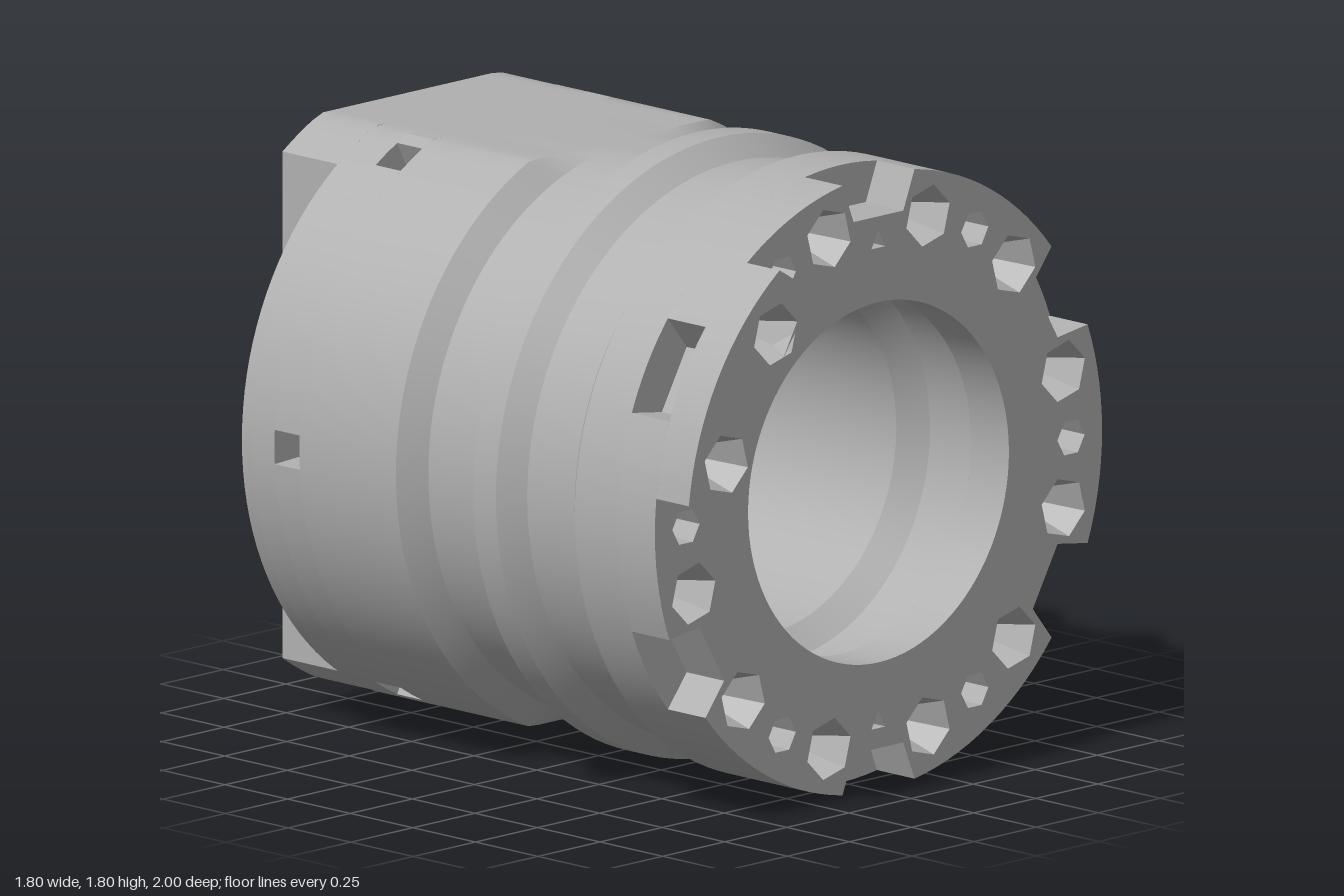
import * as THREE from 'three';
import { toCreasedNormals } from 'three/addons/utils/BufferGeometryUtils.js';

const R = 0.9, FLAT = 0.825, CUT = -0.515, BORE = 0.515;
const rad = THREE.MathUtils.degToRad;
const polar = (r, deg) => [r * Math.cos(rad(deg)), r * Math.sin(rad(deg))];
const vec = (p) => new THREE.Vector2(p[0], p[1]);

// points along an arc, with top and bottom flats where wanted
function arc(from, to, flat = R) {
  const n = Math.max(2, Math.ceil((to - from) / 3));
  return Array.from({ length: n + 1 }, (_, i) => {
    const [x, y] = polar(R, from + ((to - from) * i) / n);
    return vec([x, THREE.MathUtils.clamp(y, -flat, flat)]);
  });
}

// round outline with six notches in the rim
function notched(rimHalf, floorHalf, floorR, first, flat) {
  const d = THREE.MathUtils.radToDeg(Math.asin(rimHalf / R));
  const pts = [];
  for (let k = 0; k < 6; k++) {
    const a = first + k * 60;
    const c = Math.cos(rad(a)), s = Math.sin(rad(a));
    for (const w of [-floorHalf, floorHalf]) pts.push(vec([floorR * c - w * s, floorR * s + w * c]));
    pts.push(...arc(a + d, a + 60 - d, flat));
  }
  return pts;
}

// hole outlines
const ngon = (x, y, r, n, turn = 0) =>
  Array.from({ length: n }, (_, i) => {
    const [px, py] = polar(r, turn + (i * 360) / n);
    return vec([x + px, y + py]);
  });
const rect = (x0, y0, x1, y1) => [[x0, y0], [x1, y0], [x1, y1], [x0, y1]].map(vec);

export function createModel() {
  const model = new THREE.Group();
  const body = new THREE.Group();
  body.name = 'housing';
  body.position.y = R;
  model.add(body);

  const metal = new THREE.MeshStandardMaterial({ color: 0xb0b0b0, side: THREE.DoubleSide });
  metal.name = 'grey metal';

  const add = (name, geo, crease = 0.4) => {
    const mesh = new THREE.Mesh(toCreasedNormals(geo, crease), metal);
    mesh.name = name;
    body.add(mesh);
    return mesh;
  };
  const slab = (name, z0, z1, outline, holes = []) => {
    const shape = new THREE.Shape(outline);
    shape.holes = holes.map((h) => new THREE.Path(h));
    const geo = new THREE.ExtrudeGeometry(shape, { depth: z1 - z0, bevelEnabled: false });
    geo.translate(0, 0, z0);
    return add(name, geo);
  };

  // turned barrel: collars and grooves outside, stepped bore inside
  const profile = [
    [BORE, -0.55], [R, -0.55], [R, -0.165], [0.83, -0.105], [0.83, 0.08], [R, 0.145], [R, 0.235],
    [0.84, 0.3], [0.84, 0.49], [R, 0.55], [R, 0.72], [0.525, 0.72], [0.58, 0.68], [0.58, 0.5],
    [BORE, 0.43], [BORE, -0.55],
  ].map(vec);
  const barrel = new THREE.LatheGeometry(profile, 120).rotateX(Math.PI / 2);
  const bp = barrel.attributes.position;
  for (let i = 0; i < bp.count; i++) {
    if (bp.getZ(i) < 0.09) bp.setY(i, THREE.MathUtils.clamp(bp.getY(i), -FLAT, FLAT));
  }
  add('barrel', barrel);

  // front flange with bolt holes, dowel holes and rim notches
  const boltAngles = Array.from({ length: 12 }, (_, i) => 15 + i * 30);
  const flangeHoles = [ngon(0, 0, 0.525, 96)];
  for (const a of boltAngles) flangeHoles.push(ngon(...polar(0.77, a), 0.09, 6, a));
  for (let a = 0; a < 360; a += 60) flangeHoles.push(ngon(...polar(0.775, a), 0.055, 6, a));
  for (const a of [90, 270]) flangeHoles.push(ngon(...polar(0.7, a), 0.033, 3, 90));
  slab('frontFlange', 0.72, 0.87, notched(0.145, 0.1, 0.775, 30, R), flangeHoles);

  // raised rim block over two of the bolts
  const inner = new THREE.SplineCurve(
    [[-0.85, 0.09], [-0.75, 0.085], [-0.66, 0.15], [-0.61, 0.3], [-0.5, 0.49], [-0.42, 0.6], [-0.45, 0.68]].map(vec)
  ).getPoints(30);
  slab('rimBlock', 0.87, 1, [...arc(126, 173.5), ...inner],
    [135, 165].map((a) => ngon(...polar(0.77, a), 0.09, 6, a)));

  // tapered seats in the bolt holes
  for (const a of boltAngles) {
    const top = a === 135 || a === 165 ? 1 : 0.87;
    const seat = new THREE.CylinderGeometry(0.09, 0.04, 0.14, 6, 1, true);
    seat.rotateY(Math.PI / 2).rotateX(Math.PI / 2).rotateZ(rad(a));
    const [x, y] = polar(0.77, a);
    add('boltSeat', seat.translate(x, y, top - 0.07), 0.1);
  }

  // rear sleeve, with a ring of radial pockets
  const bore = ngon(0, 0, BORE, 96);
  slab('pocketRing', -0.65, -0.55, notched(0.05, 0.045, 0.8, 0, FLAT), [bore]);
  slab('rearSleeve', -0.74, -0.65, arc(0, 357, FLAT), [bore]);

  // holes running through floor and back plate
  const central = [ngon(0, 0, 0.16, 4), ngon(0.2, -0.42, 0.012, 6)];
  for (let a = 0; a < 360; a += 90) central.push(ngon(...polar(0.2, a), 0.022, 3, a));

  // bore floor, whose outer part is the ledge beside the step
  slab('boreFloor', -0.78, -0.74, arc(0, 357, FLAT), [
    ...central,
    rect(-0.48, 0.07, -0.24, 0.4),
    rect(-0.48, -0.36, -0.24, -0.08),
    ngon(-0.72, 0.31, 0.06, 6),
    ngon(-0.72, -0.31, 0.06, 6),
  ]);

  // stepped back, with a connector slot open to the side
  const edge = THREE.MathUtils.radToDeg(Math.acos(CUT / R));
  const stepped = arc(-edge, edge, FLAT);
  const slot = [[CUT, 0.46], [-0.24, 0.46], [-0.24, -0.42], [CUT, -0.42]].map(vec);
  const backHoles = [...central];
  for (const s of [1, -1]) {
    backHoles.push(
      ngon(...polar(0.77, 45 * s), 0.07, 6),
      ngon(...polar(0.74, 60 * s), 0.035, 6),
      ngon(...polar(0.775, 120 * s), 0.035, 6)
    );
  }
  slab('slotLayer', -0.97, -0.78, [...stepped, ...slot], backHoles);
  slab('backPlate', -1, -0.97, stepped, backHoles);

  // dividers in the connector slot
  for (const y of [0.33, 0.2, 0.06, -0.07, -0.2, -0.31]) {
    const divider = new THREE.BoxGeometry(0.14, 0.025, 0.19);
    add('slotDivider', divider.translate(-0.44, y, -0.875));
  }

  // central passage: diamond mouths narrowing to a round throat
  const throat = new THREE.LatheGeometry([[1, -0.74], [0.08, -0.87], [1, -1]].map(vec), 32).rotateX(Math.PI / 2);
  const tp = throat.attributes.position;
  for (let i = 0; i < tp.count; i++) {
    const x = tp.getX(i), y = tp.getY(i);
    if (Math.hypot(x, y) < 0.5) continue;
    const k = 0.16 / (Math.abs(x) + Math.abs(y));
    tp.setXY(i, x * k, y * k);
  }
  add('centralPassage', throat);

  return model;
}
